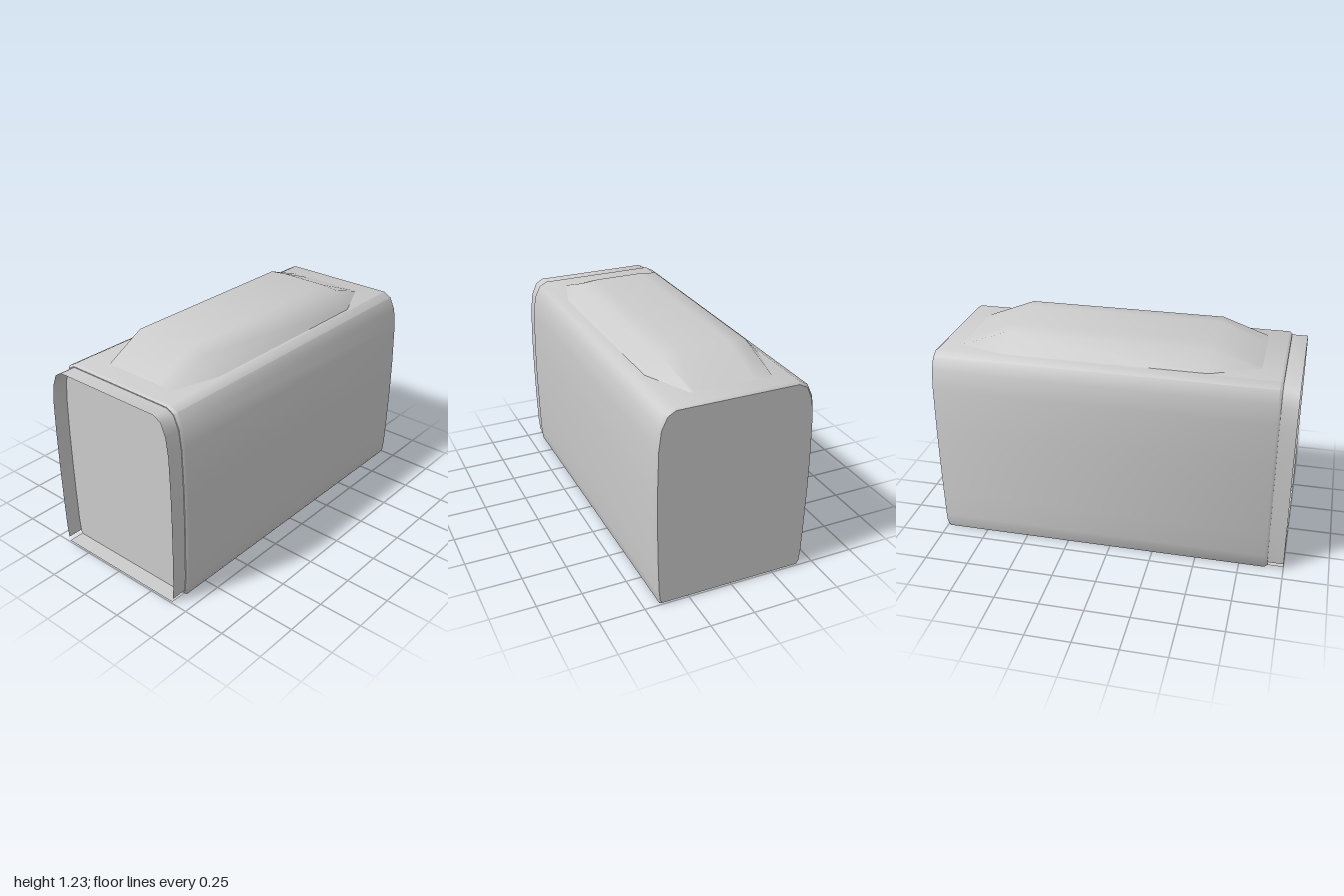
import * as THREE from 'three';
import { toCreasedNormals } from 'three/addons/utils/BufferGeometryUtils.js';

// Skin between cross-sections ordered front to back; each is a counterclockwise list of [x, y, z]
function loft(sections, { closed = true, caps = true, crease = 0.8 } = {}) {
  const n = sections[0].length;
  const index = [];
  for (let s = 0; s < sections.length - 1; s++) {
    for (let i = 0; i < (closed ? n : n - 1); i++) {
      const j = (i + 1) % n;
      const a = s * n + i, b = s * n + j, c = a + n, d = b + n;
      index.push(a, c, b, b, c, d);
    }
  }
  if (caps) {
    const last = (sections.length - 1) * n;
    for (let i = 1; i < n - 1; i++) {
      index.push(0, i, i + 1, last, last + i + 1, last + i);
    }
  }
  const geometry = new THREE.BufferGeometry();
  geometry.setAttribute('position', new THREE.Float32BufferAttribute(sections.flat(2), 3));
  geometry.setIndex(index);
  return toCreasedNormals(geometry, crease);
}

// Mirror a right-hand half profile (bottom to top) into a whole one
const mirrored = (half) => [...half, ...half.map(([x, y]) => [-x, y]).reverse()];

// Place a profile at depth z, pulled in by a margin about its middle
const slice = (profile, z, inset = 0) => profile.map(([x, y]) => [
  x * (1 - inset / 0.44), 0.563 + (y - 0.563) * (1 - inset / 0.56), z,
]);

export function createModel() {
  const group = new THREE.Group();
  group.name = 'carriageBody';

  const grey = new THREE.MeshStandardMaterial({ color: 0xcccccc });
  grey.name = 'plain grey';
  grey.side = THREE.DoubleSide;

  const add = (name, geometry) => {
    const mesh = new THREE.Mesh(geometry, grey);
    mesh.name = name;
    group.add(mesh);
  };

  // Main shell: gently bulging sides, rounded shoulders, bevelled ends
  const shell = mirrored([
    [0.412, 0.002], [0.424, 0.025], [0.431, 0.09], [0.436, 0.25], [0.441, 0.5], [0.441, 0.68],
    [0.435, 0.92], [0.421, 1.03], [0.388, 1.1], [0.342, 1.125],
  ]);
  add('shell', loft([
    slice(shell, 0.91, 0.01), slice(shell, 0.895), slice(shell, -0.985), slice(shell, -1, 0.01),
  ]));

  // Thin open collar around the front end
  const collar = mirrored([
    [0.411, 0.036], [0.418, 0.12], [0.423, 0.3], [0.426, 0.5], [0.426, 0.7],
    [0.421, 0.91], [0.407, 1.015], [0.378, 1.085], [0.335, 1.11],
  ]).map(([x, y]) => [x, y]);
  add('frontCollar', loft([slice(collar, 1), slice(collar, 0.905)], { closed: false, caps: false }));

  // Sill across the bottom of the collar
  const sill = new THREE.PlaneGeometry(0.81, 0.095);
  sill.rotateX(-Math.PI / 2);
  sill.translate(0, 0.013, 0.9525);
  add('frontSill', sill);

  // Roof pod: raised middle that ramps down to skewed ends
  const pod = [
    [0.328, 1.123], [0.24, 1.222], [0.14, 1.232], [-0.14, 1.232], [-0.24, 1.222], [-0.328, 1.123],
  ];
  const endX = [0.27, 0.25, 0.15, -0.1, -0.18, -0.2];
  const frontEnd = endX.map((x) => [x, 1.123, 0.79]);
  const backEnd = endX.map((x) => [-x, 1.123, -0.885]).reverse();
  add('roofPod', loft(
    [frontEnd, slice(pod, 0.52), slice(pod, -0.61), backEnd],
    { closed: false, caps: false, crease: 0.95 },
  ));

  return group;
}
